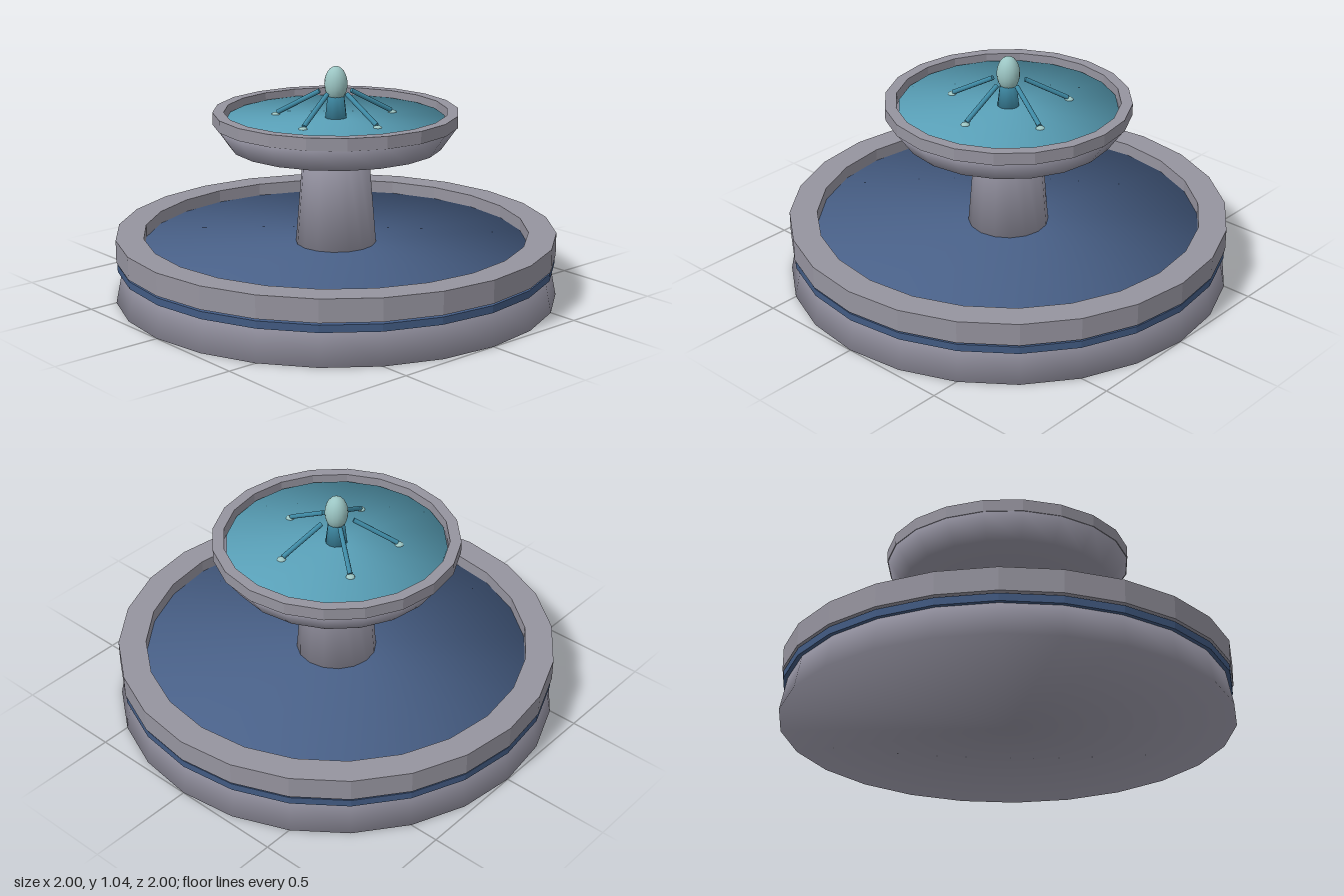
import * as THREE from 'three';
import { toCreasedNormals } from 'three/addons/utils/BufferGeometryUtils.js';

const mat = (name, color) => {
  const m = new THREE.MeshStandardMaterial({ color });
  m.name = name;
  return m;
};

export function createModel() {
  const fountain = new THREE.Group();
  fountain.name = 'fountain';

  const stone = mat('stone', 0x9997a6);
  const trim = mat('rim stone', 0x96949f);
  const poolBlue = mat('pool water', 0x4a628a);
  const bandBlue = mat('band blue', 0x425b83);
  const bowlBlue = mat('bowl water', 0x5aa2ba);
  const jetBlue = mat('jet water', 0x3f8ba6);
  const foam = mat('foam', 0x9cc6c4);

  const add = (name, geometry, material, parent = fountain) => {
    const mesh = new THREE.Mesh(geometry, material);
    mesh.name = name;
    parent.add(mesh);
    return mesh;
  };

  // Turned part from [radius, height] pairs; smooth all over, or faceted
  const turned = (name, profile, sides, material, smooth = true) => {
    const points = profile.map(([r, y]) => new THREE.Vector2(r, y));
    const geometry = new THREE.LatheGeometry(points, sides);
    return add(name, toCreasedNormals(geometry, smooth ? Math.PI : 0.05), material);
  };

  // Solid drum with closed ends
  const drum = (name, r0, r1, y0, y1, sides, material) =>
    turned(name, [[0, y0], [r0, y0], [r1, y1], [0, y1]], sides, material);

  // Square-section ring
  const ring = (name, inner, outer, y0, y1, sides, material) =>
    turned(name, [[inner, y0], [outer, y0], [outer, y1], [inner, y1], [inner, y0]], sides, material, false);

  // Lower basin: tapered wall, blue band, heavy rim, water inside the rim
  drum('basin', 1, 0.962, 0, 0.19, 24, stone);
  ring('basinBand', 0.93, 0.99, 0.145, 0.178, 24, bandBlue);
  ring('basinRim', 0.87, 0.995, 0.188, 0.29, 24, trim);
  drum('poolWater', 0.872, 0.872, 0.195, 0.233, 24, poolBlue);

  // Column and upper bowl
  drum('column', 0.185, 0.145, 0.2, 0.69, 16, stone);
  drum('bowl', 0.475, 0.548, 0.682, 0.787, 20, stone);
  ring('bowlRim', 0.5, 0.55, 0.785, 0.84, 20, trim);
  drum('bowlWater', 0.49, 0.49, 0.775, 0.808, 20, bowlBlue);

  // Central spout and its egg-shaped head
  drum('spout', 0.05, 0.035, 0.8, 0.93, 12, jetBlue);
  const head = add('spoutHead', new THREE.SphereGeometry(0.052, 16, 12), foam);
  head.scale.y = 1.54;
  head.position.y = 0.96;

  // Five jets falling outward, each ending in a droplet half under water
  const start = new THREE.Vector3(0.075, 0.925, 0);
  const end = new THREE.Vector3(0.27, 0.818, 0);
  const along = end.clone().sub(start);
  for (let i = 0; i < 5; i++) {
    const jet = new THREE.Group();
    jet.name = 'jet';
    jet.rotation.y = (i * Math.PI * 2) / 5;
    const stream = add('stream', new THREE.CylinderGeometry(0.011, 0.011, along.length(), 8), jetBlue, jet);
    stream.position.copy(start).addScaledVector(along, 0.5);
    stream.quaternion.setFromUnitVectors(new THREE.Vector3(0, 1, 0), along.clone().normalize());
    const drop = add('droplet', new THREE.SphereGeometry(0.02, 10, 8), foam, jet);
    drop.position.set(0.277, 0.808, 0);
    drop.scale.y = 0.5;
    fountain.add(jet);
  }

  return fountain;
}
